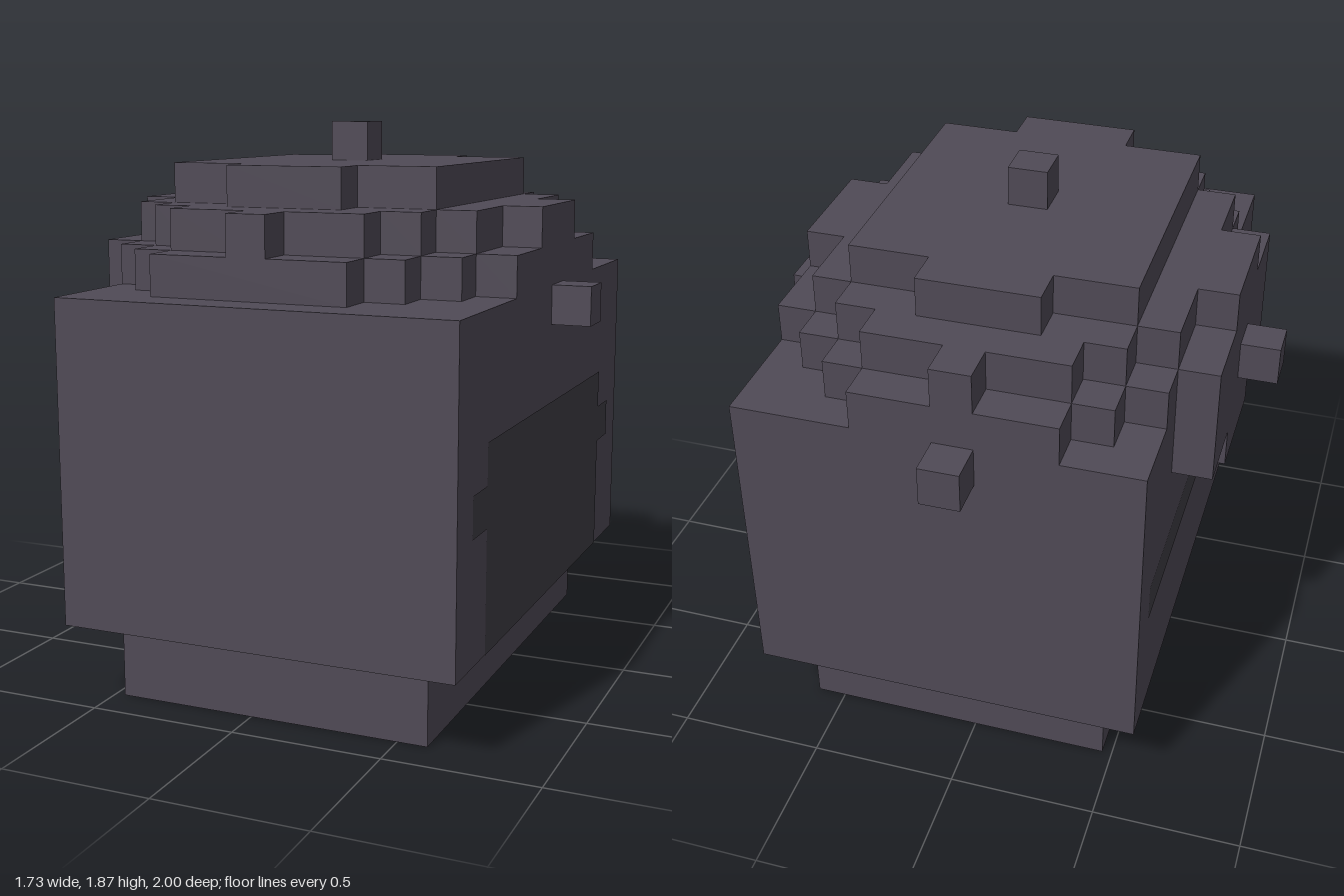
import * as THREE from 'three';

const V = 2 / 15; // edge of one block

export function createModel() {
  const model = new THREE.Group();
  model.name = 'blockPot';
  const main = new THREE.MeshStandardMaterial({ color: 0x504a56, flatShading: true });
  const dark = new THREE.MeshStandardMaterial({ color: 0x3f3d45, flatShading: true });

  function add(name, geometry, material = main) {
    const mesh = new THREE.Mesh(geometry, material);
    mesh.name = name;
    model.add(mesh);
    return mesh;
  }

  // Box given by its limits, in blocks
  function box(name, x0, x1, y0, y1, z0, z1) {
    const g = new THREE.BoxGeometry((x1 - x0) * V, (y1 - y0) * V, (z1 - z0) * V);
    g.translate((x0 + x1) / 2 * V, (y0 + y1) / 2 * V, (z0 + z1) / 2 * V);
    return add(name, g);
  }

  // One-block-high stepped oval; halfWidths[i] is the half width at row |z| = i
  function ovalLayer(name, y, halfWidths) {
    const quarter = [];
    halfWidths.forEach((w, i) => {
      quarter.push([w, i === 0 ? 0 : i - 0.5], [w, i + 0.5]);
    });
    const back = quarter.slice().reverse();
    const outline = [
      ...quarter,
      ...back.map(([x, z]) => [-x, z]),
      ...quarter.map(([x, z]) => [-x, -z]),
      ...back.map(([x, z]) => [x, -z]),
    ].filter(([, z]) => z !== 0);
    const shape = new THREE.Shape(outline.map(([x, z]) => new THREE.Vector2(x * V, z * V)));
    const g = new THREE.ExtrudeGeometry(shape, { depth: V, bevelEnabled: false });
    g.rotateX(-Math.PI / 2);
    g.translate(0, y * V, 0);
    add(name, g);
  }

  // Flat patch on a side face, limits in blocks
  function patch(name, side, x, y0, y1, z0, z1) {
    const g = new THREE.PlaneGeometry((z1 - z0) * V, (y1 - y0) * V);
    g.rotateY(side * Math.PI / 2);
    g.translate(x * V + side * 0.002, (y0 + y1) / 2 * V, (z0 + z1) / 2 * V);
    add(name, g, dark);
  }

  // Foot and body
  box('base', -3.5, 4.5, 0, 2, -5.5, 6.5);
  box('body', -4.5, 5.5, 2, 10, -6.5, 7.5);

  // Stepped dome
  ovalLayer('domeLower', 10, [5.5, 5.5, 5.5, 5.5, 4.5, 3.5, 2.5]);
  ovalLayer('domeMiddle', 11, [5.5, 5.5, 4.5, 4.5, 3.5, 2.5, 0.5]);
  ovalLayer('domeTop', 12, [3.5, 3.5, 3.5, 3.5, 1.5]);

  // Part of the dome's oval that pokes out of the right side
  box('sideBulge', -5.5, -4.5, 8, 10, -3.5, 3.5);
  box('sideBulgeLower', -5.5, -4.5, 7, 8, -1.5, 1.5);

  // Knobs
  box('topKnob', -0.5, 0.5, 13, 14, -0.5, 0.5);
  box('leftKnob', 5.5, 6.5, 9, 10, -0.5, 0.5);
  box('rightKnob', -6.5, -5.5, 9, 10, -0.5, 0.5);
  box('backKnob', -0.5, 0.5, 9, 10, -7.5, -6.5);

  // Dark markings: panel with two tabs on the left, a stripe on the right
  patch('leftPanel', 1, 5.5, 2, 7, -4.5, 5.5);
  patch('leftPanelFrontTab', 1, 5.5, 5, 6, 5.5, 6.5);
  patch('leftPanelBackTab', 1, 5.5, 5, 6, -5.5, -4.5);
  patch('rightStripe', -1, -4.5, 5, 6, -5.5, 6.5);

  return model;
}
